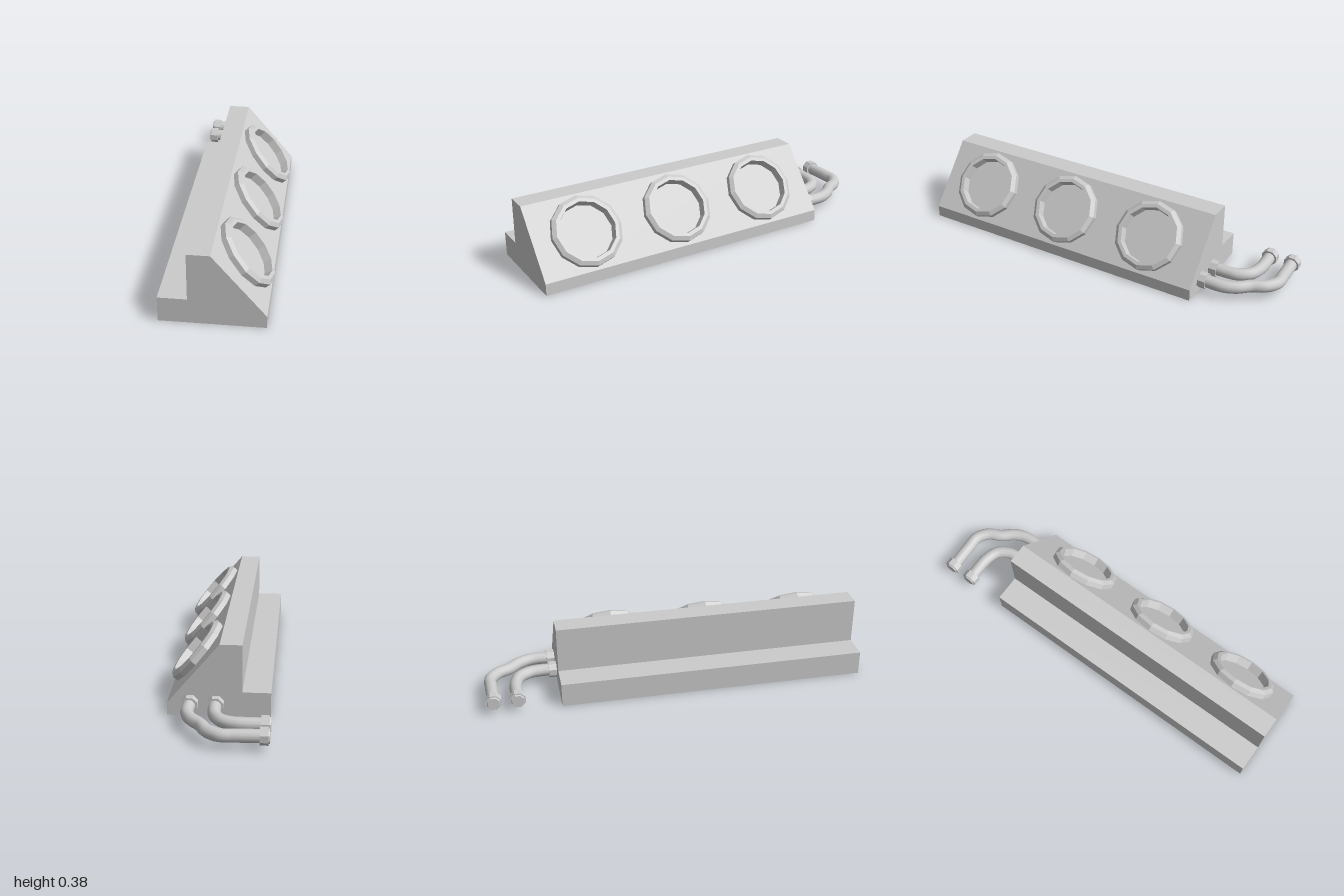
import * as THREE from 'three';

const flat = new THREE.MeshStandardMaterial({ color: 0xcccccc, flatShading: true });
const smooth = new THREE.MeshStandardMaterial({ color: 0xcccccc });
const PIPE_Y = 0.067;

function add(parent, name, geometry, material = flat) {
  const mesh = new THREE.Mesh(geometry, material);
  mesh.name = name;
  parent.add(mesh);
  return mesh;
}

// Octagonal nut with a slightly narrower lip, lying along local +y
function makeNut(name) {
  const nut = new THREE.Group();
  nut.name = name;
  add(nut, 'nutBody', new THREE.CylinderGeometry(0.043, 0.043, 0.04, 8).rotateY(Math.PI / 8));
  add(nut, 'nutLip', new THREE.CylinderGeometry(0.032, 0.036, 0.007, 8).rotateY(Math.PI / 8)).position.y = 0.0235;
  return nut;
}

// Flat-lying pipe through [x, z] points, with a nut at each end
function makePipe(name, path) {
  const pipe = new THREE.Group();
  pipe.name = name;
  const points = path.map(([x, z]) => new THREE.Vector3(x, PIPE_Y, z));
  const curve = new THREE.CatmullRomCurve3(points, false, 'centripetal');
  add(pipe, 'tube', new THREE.TubeGeometry(curve, 40, 0.032, 12), smooth);

  const wallNut = makeNut('wallNut');
  wallNut.rotation.x = Math.PI / 2;
  wallNut.position.set(path[0][0], PIPE_Y, -0.635);
  const endNut = makeNut('endNut');
  endNut.rotation.z = Math.PI / 2;
  endNut.position.set(-0.238, PIPE_Y, path[path.length - 1][1]);
  pipe.add(wallNut, endNut);
  return pipe;
}

export function createModel() {
  const model = new THREE.Group();
  model.name = 'slopedHousing';

  // Stepped housing with a sloping face
  const profile = new THREE.Shape([
    [-0.255, 0], [0.253, 0], [0.253, 0.062], [-0.005, 0.37],
    [-0.115, 0.37], [-0.115, 0.128], [-0.255, 0.128],
  ].map(([x, y]) => new THREE.Vector2(x, y)));
  const body = new THREE.ExtrudeGeometry(profile, { depth: 1.613, bevelEnabled: false });
  add(model, 'housing', body.translate(0, 0, -0.613));

  // Three bevelled rings standing on the slope
  const section = [
    [0.186, -0.002], [0.186, 0.028], [0.166, 0.043], [0.147, 0.043], [0.141, -0.002],
  ].map(([r, h]) => new THREE.Vector2(r, h));
  const ringGeometry = new THREE.LatheGeometry(section, 12);
  for (const z of [0.72, 0.205, -0.31]) {
    const ring = add(model, 'ring', ringGeometry);
    ring.rotation.z = -Math.atan2(0.308, 0.258);
    ring.position.set(0.124, 0.216, z);
  }

  // Two bent pipes leaving the back end
  model.add(
    makePipe('innerPipe', [
      [0.013, -0.61], [0.013, -0.7], [0.004, -0.758], [-0.032, -0.812], [-0.1, -0.837], [-0.24, -0.837],
    ]),
    makePipe('outerPipe', [
      [0.139, -0.61], [0.139, -0.74], [0.112, -0.805], [0.062, -0.863],
      [0.028, -0.925], [-0.03, -0.965], [-0.1, -0.965], [-0.24, -0.96],
    ]),
  );
  return model;
}
